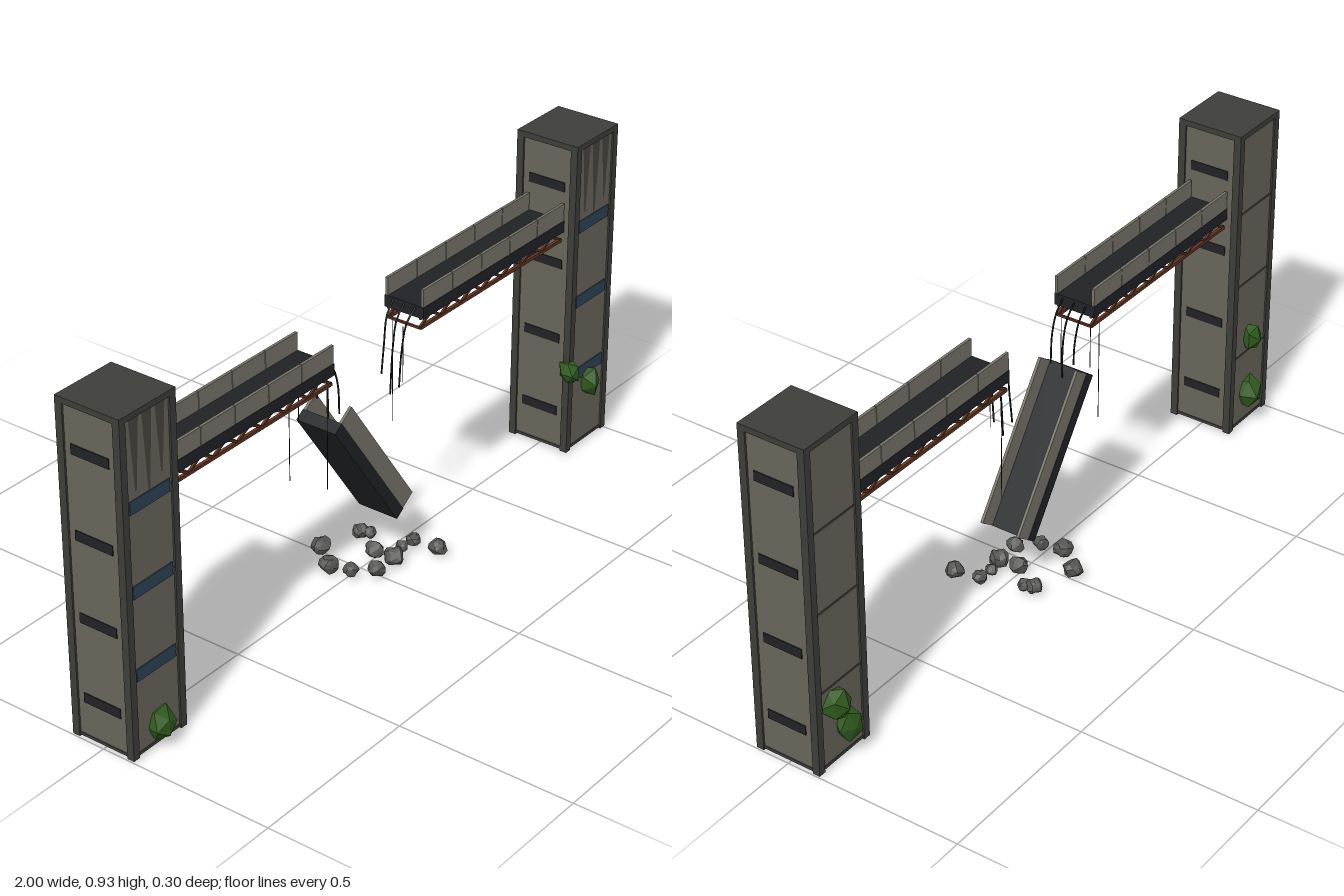
import * as THREE from 'three';

const mat = (color, extra = {}) => new THREE.MeshStandardMaterial({ color, ...extra });
const concrete = mat(0x68645a), wallMat = mat(0x77746a), frameMat = mat(0x3d3d3a);
const dark = mat(0x202226), stain = mat(0x47453f, { side: THREE.DoubleSide });
const glass = mat(0x2c4455), rust = mat(0x5f3420), wire = mat(0x1c1c1c);
const leaf = mat(0x2f5a1c, { flatShading: true }), rock = mat(0x555553, { flatShading: true });

function add(parent, name, geometry, material, x = 0, y = 0, z = 0) {
  const m = new THREE.Mesh(geometry, material);
  m.name = name;
  m.position.set(x, y, z);
  parent.add(m);
  return m;
}
const box = (parent, name, material, w, h, d, x, y, z) =>
  add(parent, name, new THREE.BoxGeometry(w, h, d), material, x, y, z);

// Thin bar between two points in a plane of constant z
function bar(parent, name, x0, y0, x1, y1, z, t) {
  const b = box(parent, name, rust, Math.hypot(x1 - x0, y1 - y0), t, t, (x0 + x1) / 2, (y0 + y1) / 2, z);
  b.rotation.z = Math.atan2(y1 - y0, x1 - x0);
}

function tube(parent, name, points, r) {
  const curve = new THREE.CatmullRomCurve3(points.map(p => new THREE.Vector3(...p)));
  add(parent, name, new THREE.TubeGeometry(curve, 10, r, 5), wire);
}

// Irregular faceted lump: vertices pushed in and out by a rule on their position
function lump(parent, name, material, r, x, y, z, seed, stretch = 1) {
  const g = new THREE.IcosahedronGeometry(r, name === 'shrub' ? 0 : 1);
  const p = g.attributes.position;
  for (let i = 0; i < p.count; i++) {
    const a = p.getX(i) / r, b = p.getY(i) / r, c = p.getZ(i) / r;
    const k = 1 + 0.14 * Math.sin(a * 5 + b * 7 + c * 9 + seed * 2.3);
    p.setXYZ(i, a * r * k, b * r * k * stretch, c * r * k);
  }
  g.computeVertexNormals();
  add(parent, name, g, material, x, y, z).rotation.y = seed;
}

function tower(x) {
  const g = new THREE.Group();
  g.name = 'tower';
  g.position.x = x;
  box(g, 'towerCore', concrete, 0.182, 0.905, 0.182, 0, 0.4725, 0);
  box(g, 'towerCap', frameMat, 0.192, 0.016, 0.192, 0, 0.928, 0);
  box(g, 'towerBase', frameMat, 0.186, 0.008, 0.186, 0, 0.02, 0);
  for (const sx of [-1, 1]) for (const sz of [-1, 1])
    box(g, 'cornerPillar', frameMat, 0.021, 0.908, 0.021, sx * 0.0855, 0.466, sz * 0.0855);
  // Side vents
  for (const y of [0.13, 0.355, 0.58, 0.808]) for (const s of [-1, 1])
    box(g, 'ventSlot', dark, 0.006, 0.027, 0.114, s * 0.0905, y, 0);
  // Front windows and panel joints
  for (const y of [0.24, 0.467, 0.692]) {
    box(g, 'windowBand', glass, 0.138, 0.035, 0.006, 0, y, 0.0905);
    for (const s of [-1, 1])
      box(g, 'panelJoint', frameMat, 0.15, 0.006, 0.003, 0, y, s * 0.0908);
  }
  // Water stains running down from the cap
  for (const [sx, len] of [[-0.045, 0.19], [0, 0.21], [0.045, 0.18]]) {
    const s = new THREE.Shape([
      new THREE.Vector2(-0.017, 0), new THREE.Vector2(-0.003, -len),
      new THREE.Vector2(0.003, -len), new THREE.Vector2(0.017, 0)]);
    add(g, 'waterStain', new THREE.ShapeGeometry(s), stain, sx, 0.92, 0.0922);
  }
  return g;
}

// Deck with panelled parapets, centred on x, deck underside at y = 0
function deck(length, panels) {
  const g = new THREE.Group();
  g.name = 'deck';
  box(g, 'deckSlab', dark, length, 0.033, 0.122, 0, 0.0165, 0);
  const step = length / panels;
  for (const s of [-1, 1]) for (let i = 0; i < panels; i++)
    box(g, 'parapetPanel', wallMat, step - 0.002, 0.05, 0.008,
      -length / 2 + (i + 0.5) * step, 0.058, s * 0.056);
  return g;
}

function bridge(x0, x1) {
  const g = new THREE.Group();
  g.name = 'bridge';
  const length = x1 - x0, bays = 14, step = length / bays;
  const d = deck(length, 5);
  d.position.set((x0 + x1) / 2, 0.68, 0);
  g.add(d);
  // Rusted truss
  for (const z of [-0.05, 0.05]) {
    bar(g, 'lowerChord', x0, 0.653, x1, 0.653, z, 0.009);
    bar(g, 'upperChord', x0, 0.679, x1, 0.679, z, 0.006);
    for (let i = 0; i < bays; i++) {
      const up = i % 2 === 0;
      bar(g, 'trussDiagonal', x0 + i * step, up ? 0.655 : 0.68,
        x0 + (i + 1) * step, up ? 0.68 : 0.655, z, 0.006);
    }
  }
  for (let i = 0; i <= bays; i += 2)
    box(g, 'crossBeam', rust, 0.006, 0.006, 0.1, x0 + i * step, 0.653, 0);
  return g;
}

export function createModel() {
  const root = new THREE.Group();
  root.name = 'brokenSkybridge';
  root.add(tower(-0.904), tower(0.904), bridge(-0.81, -0.185), bridge(0.18, 0.81));

  // Fallen middle span
  const fallen = deck(0.45, 1);
  fallen.name = 'fallenSpan';
  fallen.position.set(-0.054, 0.328, 0);
  fallen.rotation.z = -0.962;
  root.add(fallen);

  // Torn cables at both broken ends
  for (const [z, drop] of [[-0.035, 0.14], [0, 0.19], [0.035, 0.16]]) {
    tube(root, 'cable', [[-0.185, 0.705, z], [-0.155, 0.675, z], [-0.137, 0.62, z], [-0.132, 0.7 - drop, z]], 0.0025);
    tube(root, 'cable', [[0.18, 0.705, z], [0.15, 0.675, z * 0.9], [0.134, 0.6, z * 0.8], [0.124, 0.66 - drop, z * 0.8]], 0.0025);
  }
  // Loose hanging strands
  for (const [x, z, y0, y1] of [[-0.2, 0.05, 0.65, 0.36], [-0.2, -0.04, 0.65, 0.52],
    [-0.225, -0.05, 0.65, 0.36], [0.2, -0.05, 0.65, 0.34], [0.15, 0.02, 0.66, 0.5]])
    box(root, 'hangingStrand', wire, 0.0015, y0 - y1, 0.0015, x, (y0 + y1) / 2, z);

  // Rubble below the gap
  [[-0.01, -0.122, 0.027], [0.11, -0.085, 0.022], [0.17, 0.123, 0.025], [0.16, 0.05, 0.02],
    [0.065, 0.06, 0.027], [-0.01, 0.06, 0.024], [-0.07, -0.05, 0.026], [0.115, 0.045, 0.017],
    [0.06, 0.0, 0.026], [-0.055, 0.01, 0.02], [0.12, -0.06, 0.018]]
    .forEach(([x, z, r], i) => lump(root, 'rubble', rock, r, x, 0.035, z, i + 1, 0.9));

  // Shrubs clinging to the towers
  [[-0.905, 0.07, 0.098, 0.04], [0.905, 0.2, 0.096, 0.037], [0.812, 0.267, 0.094, 0.033],
    [-0.9, 0.285, -0.098, 0.033], [-0.9, 0.11, -0.1, 0.043],
    [0.935, 0.19, -0.1, 0.042], [0.89, 0.105, -0.098, 0.038]]
    .forEach(([x, y, z, r], i) => lump(root, 'shrub', leaf, r, x, y, z, i * 1.7, 1.2));
  return root;
}
